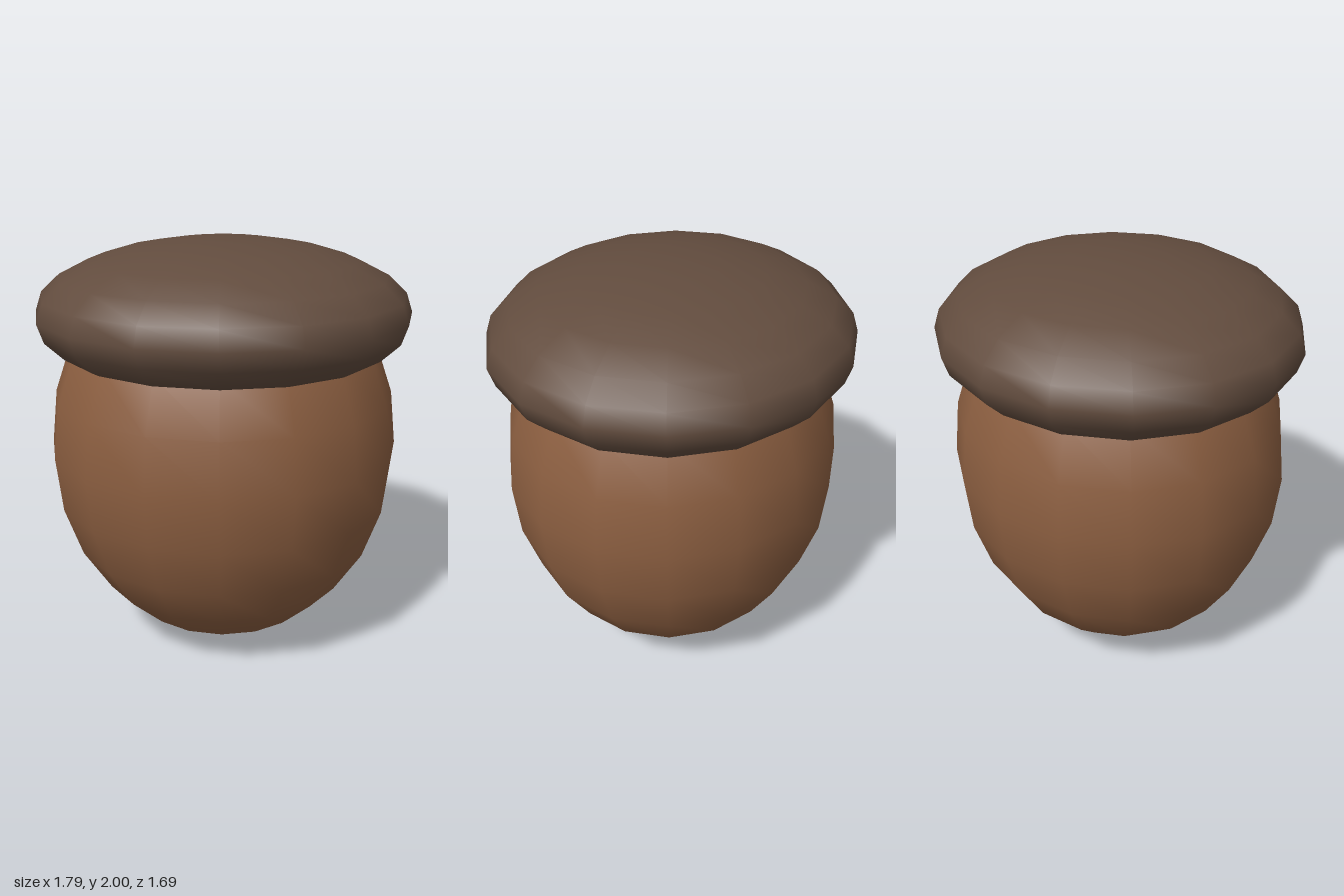
import * as THREE from 'three';

// Smooth 16-sided ellipsoid centred at height y
function ellipsoid(name, material, rx, ry, rz, y) {
  const geometry = new THREE.SphereGeometry(1, 16, 12);
  geometry.scale(rx, ry, rz);
  const mesh = new THREE.Mesh(geometry, material);
  mesh.name = name;
  mesh.position.y = y;
  return mesh;
}

export function createModel() {
  const nutBrown = new THREE.MeshStandardMaterial({ color: 0x8b5e40 });
  nutBrown.name = 'nut brown';
  const capBrown = new THREE.MeshStandardMaterial({ color: 0x624c3e });
  capBrown.name = 'cap brown';

  const acorn = new THREE.Group();
  acorn.name = 'acorn';
  // Nut body, slightly narrower front to back
  acorn.add(ellipsoid('nut', nutBrown, 0.848, 1.0, 0.8, 1.0));
  // Flattened cap sunk onto the top of the nut
  acorn.add(ellipsoid('cap', capBrown, 0.896, 0.348, 0.847, 1.652));
  return acorn;
}
